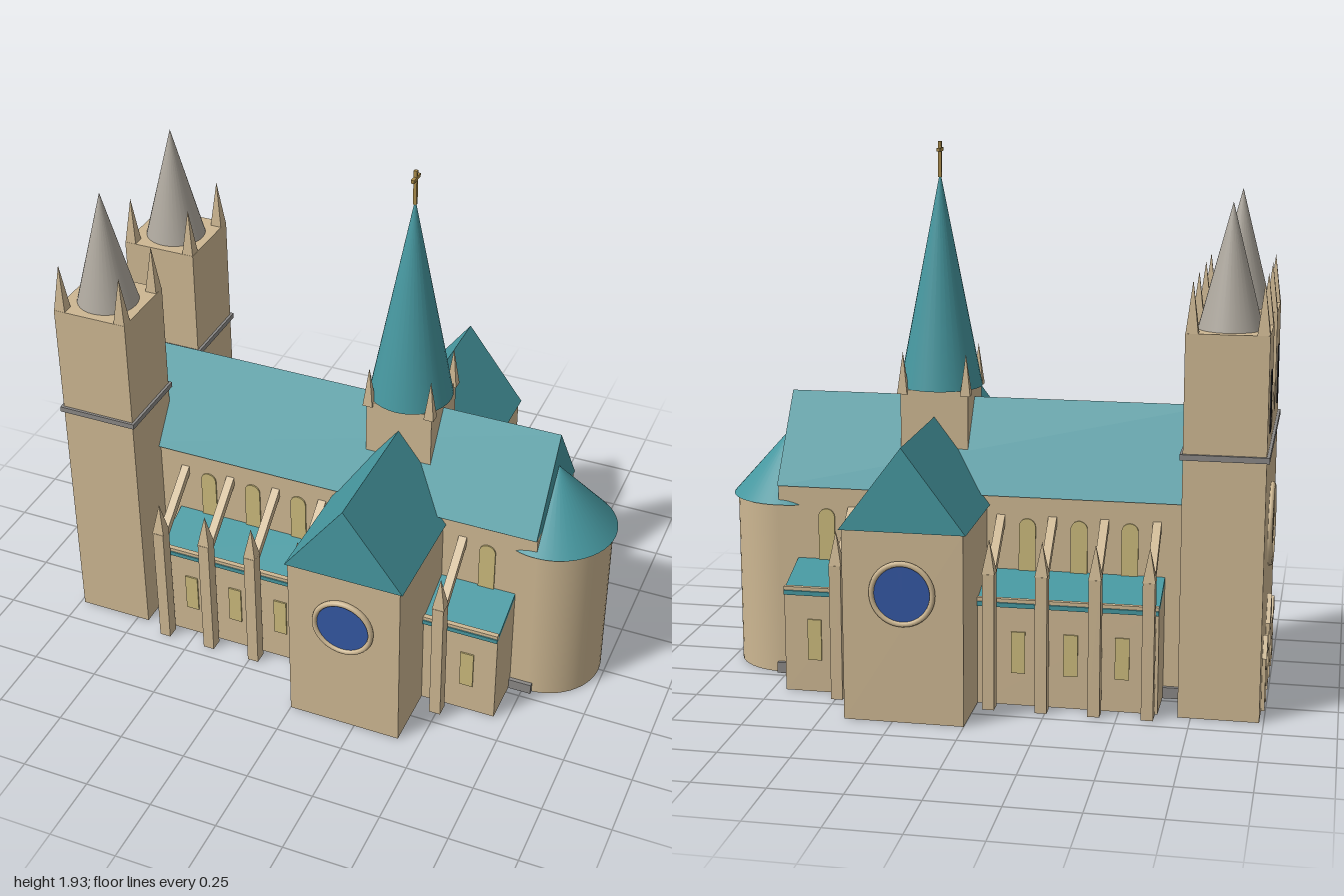
import * as THREE from 'three';

const mat = (name, color) => {
  const m = new THREE.MeshStandardMaterial({ color });
  m.name = name;
  return m;
};

export function createModel() {
  const root = new THREE.Group();
  root.name = 'cathedral';
  const stone = mat('sandstone', 0xcdb792);
  const teal = mat('copper roof', 0x46979f);
  const slate = mat('spire grey', 0xaea89e);
  const grey = mat('plinth grey', 0x8a8886);
  const blue = mat('stained glass', 0x3457a2);
  const yellow = mat('window glass', 0xcbba7c);
  const dark = mat('dark opening', 0x26262a);
  const wood = mat('door wood', 0x7a4530);
  const gold = mat('gilded cross', 0xa88a4a);

  const add = (name, geo, m, x = 0, y = 0, z = 0) => {
    const mesh = new THREE.Mesh(geo, m);
    mesh.name = name;
    mesh.position.set(x, y, z);
    root.add(mesh);
    return mesh;
  };
  // box given by its minimum and maximum on each axis
  const box = (name, m, x0, x1, y0, y1, z0, z1) =>
    add(name, new THREE.BoxGeometry(x1 - x0, y1 - y0, z1 - z0), m,
      (x0 + x1) / 2, (y0 + y1) / 2, (z0 + z1) / 2);
  // extrusion of a 2D outline, centred on its depth
  const extrude = (points, depth) => {
    const shape = new THREE.Shape(points.map(([x, y]) => new THREE.Vector2(x, y)));
    return new THREE.ExtrudeGeometry(shape, { depth, bevelEnabled: false }).translate(0, 0, -depth / 2);
  };
  const gable = (half, height, depth) => extrude([[-half, 0], [half, 0], [0, height]], depth);
  const cone = (name, m, r, h, x, y, z, n = 32) => add(name, new THREE.ConeGeometry(r, h, n), m, x, y + h / 2, z);
  const pinnacle = (name, r, h, x, y, z) => {
    const geo = new THREE.ConeGeometry(r, h, 4).rotateY(Math.PI / 4).toNonIndexed();
    geo.computeVertexNormals();
    return add(name, geo, stone, x, y + h / 2, z);
  };
  const archGeometry = (w, h, depth) => {
    const r = w / 2, s = new THREE.Shape();
    s.moveTo(-r, 0);
    s.lineTo(r, 0);
    s.lineTo(r, h - r);
    s.absarc(0, h - r, r, 0, Math.PI, false);
    s.lineTo(-r, 0);
    return new THREE.ExtrudeGeometry(s, { depth, bevelEnabled: false, curveSegments: 8 }).translate(0, 0, -depth / 2);
  };

  // nave, plinth and main roof
  box('plinth', grey, -0.78, 0.785, 0, 0.04, -0.225, 0.225);
  box('naveWall', stone, -0.775, 0.77, 0.002, 0.71, -0.21, 0.21);
  add('naveRoof', gable(0.225, 0.31, 1.55).rotateY(Math.PI / 2), teal, -0.005, 0.71, 0);

  // rounded apse
  add('apseWall', new THREE.CylinderGeometry(0.21, 0.21, 0.64, 48), stone, 0.77, 0.32, 0);
  cone('apseRoof', teal, 0.225, 0.25, 0.77, 0.638, 0, 48);

  // transept
  box('transeptWall', stone, 0, 0.42, 0, 0.675, -0.627, 0.627);
  add('transeptRoof', gable(0.22, 0.292, 1.264), teal, 0.21, 0.673, 0);
  for (const s of [-1, 1]) {
    const rim = add('transeptRoseRim', new THREE.TorusGeometry(0.106, 0.01, 8, 40), stone, 0.21, 0.46, s * 0.634);
    rim.scale.z = 1.2;
    add('transeptRoseGlass', new THREE.CylinderGeometry(0.102, 0.102, 0.009, 40).rotateX(Math.PI / 2),
      blue, 0.21, 0.46, s * 0.632);
  }

  // crossing tower, spire and cross
  box('crossingTower', stone, 0.087, 0.333, 0.7, 1.06, -0.123, 0.123);
  cone('crossingSpire', teal, 0.15, 0.77, 0.21, 1.06, 0, 32);
  for (const sx of [-1, 1]) for (const sz of [-1, 1])
    pinnacle('crossingPinnacle', 0.026, 0.15, 0.21 + sx * 0.115, 1.045, sz * 0.115);
  box('crossPost', gold, 0.204, 0.216, 1.81, 1.935, -0.006, 0.006);
  box('crossArm', gold, 0.204, 0.216, 1.9, 1.912, -0.03, 0.03);

  // aisles, windows and flying buttresses on both sides
  const bays = [[-0.635, 0.0], [0.42, 0.7]];
  const windows = [-0.51, -0.33, -0.145, 0.59];
  const piers = [-0.605, -0.42, -0.235, -0.05, 0.495];
  for (const s of [-1, 1]) {
    for (const [x0, x1] of bays) {
      const len = x1 - x0, mid = (x0 + x1) / 2;
      const profile = (pts) => {
        // outlines are written as (distance from axis, height)
        const flat = pts.map(([z, y]) => [-s * z, y]);
        return extrude(s > 0 ? flat.reverse() : flat, len).rotateY(Math.PI / 2);
      };
      add('aisleWall', profile([[0.2, 0], [0.39, 0], [0.39, 0.365], [0.2, 0.43]]), stone, mid, 0.001, 0);
      add('aisleRoof', profile([[0.2, 0.425], [0.398, 0.358], [0.398, 0.374], [0.2, 0.445]]), teal, mid, 0, 0);
      box('aisleGutter', stone, x0, x1, 0.37, 0.388, s * 0.386 - 0.009, s * 0.386 + 0.009);
    }
    for (const x of windows) {
      add('clerestoryWindow', archGeometry(0.06, 0.19, 0.009), yellow, x, 0.44, s * 0.211);
      box('aisleWindow', yellow, x - 0.025, x + 0.025, 0.12, 0.27, s * 0.391 - 0.0045, s * 0.391 + 0.0045);
    }
    for (const x of piers) {
      box('buttressPier', stone, x - 0.021, x + 0.021, 0, 0.49, s * 0.43 - 0.024, s * 0.43 + 0.024);
      pinnacle('buttressPinnacle', 0.032, 0.12, x, 0.49, s * 0.43);
      const dz = 0.22, dy = 0.18;
      const strut = add('flyingButtress', new THREE.BoxGeometry(0.03, 0.028, Math.hypot(dz, dy)),
        stone, x, 0.54, s * 0.312);
      strut.rotation.x = s * Math.atan2(dy, dz);
    }
  }

  // west towers
  for (const s of [-1, 1]) {
    const cx = -0.845, cz = s * 0.262;
    box('westTower', stone, cx - 0.14, cx + 0.14, 0, 1.34, cz - 0.14, cz + 0.14);
    box('towerCornice', grey, cx - 0.15, cx + 0.15, 0.912, 0.932, cz - 0.15, cz + 0.15);
    cone('towerSpire', slate, 0.11, 0.425, cx, 1.34, cz);
    for (const sx of [-1, 1]) for (const sz of [-1, 1])
      pinnacle('towerPinnacle', 0.03, 0.175, cx + sx * 0.118, 1.34, cz + sz * 0.118);
    box('belfryOpening', dark, -0.989, -0.981, 0.99, 1.2, cz - 0.03, cz + 0.03);
  }

  // west front with its gable
  box('westFront', stone, -0.985, -0.945, 0, 0.94, -0.13, 0.13);
  box('westFrontCornice', grey, -0.995, -0.98, 0.912, 0.932, -0.12, 0.12);
  add('westGable', gable(0.122, 0.17, 0.04).rotateY(Math.PI / 2), stone, -0.965, 0.94, 0);

  // three portals with gabled hoods
  for (const [z, w, h, peak] of [[0, 0.12, 0.25, 0.34], [-0.235, 0.08, 0.19, 0.26], [0.235, 0.08, 0.19, 0.26]]) {
    box('portalDoor', wood, -0.992, -0.984, 0, h, z - w / 2, z + w / 2);
    add('portalHood', gable(w / 2 + 0.012, peak - h, 0.018).rotateY(Math.PI / 2), stone, -0.991, h, z);
    for (const s of [-1, 1]) {
      const c = z + s * (w / 2 + 0.004);
      box('portalJamb', stone, -0.997, -0.982, 0, h, c - 0.005, c + 0.005);
    }
  }

  // wheel window of the west front
  const wheelX = -0.99, wheelY = 0.6;
  add('wheelGlass', new THREE.CylinderGeometry(0.135, 0.135, 0.008, 40).rotateZ(Math.PI / 2), dark, -0.986, wheelY, 0);
  for (const [r, t] of [[0.14, 0.011], [0.085, 0.006], [0.03, 0.008]])
    add('wheelRing', new THREE.TorusGeometry(r, t, 8, 40).rotateY(Math.PI / 2), stone, wheelX, wheelY, 0);
  for (let i = 0; i < 8; i++) {
    const spoke = add('wheelSpoke', new THREE.BoxGeometry(0.01, 0.27, 0.012), stone, wheelX, wheelY, 0);
    spoke.rotation.x = (i * Math.PI) / 8;
  }
  return root;
}
